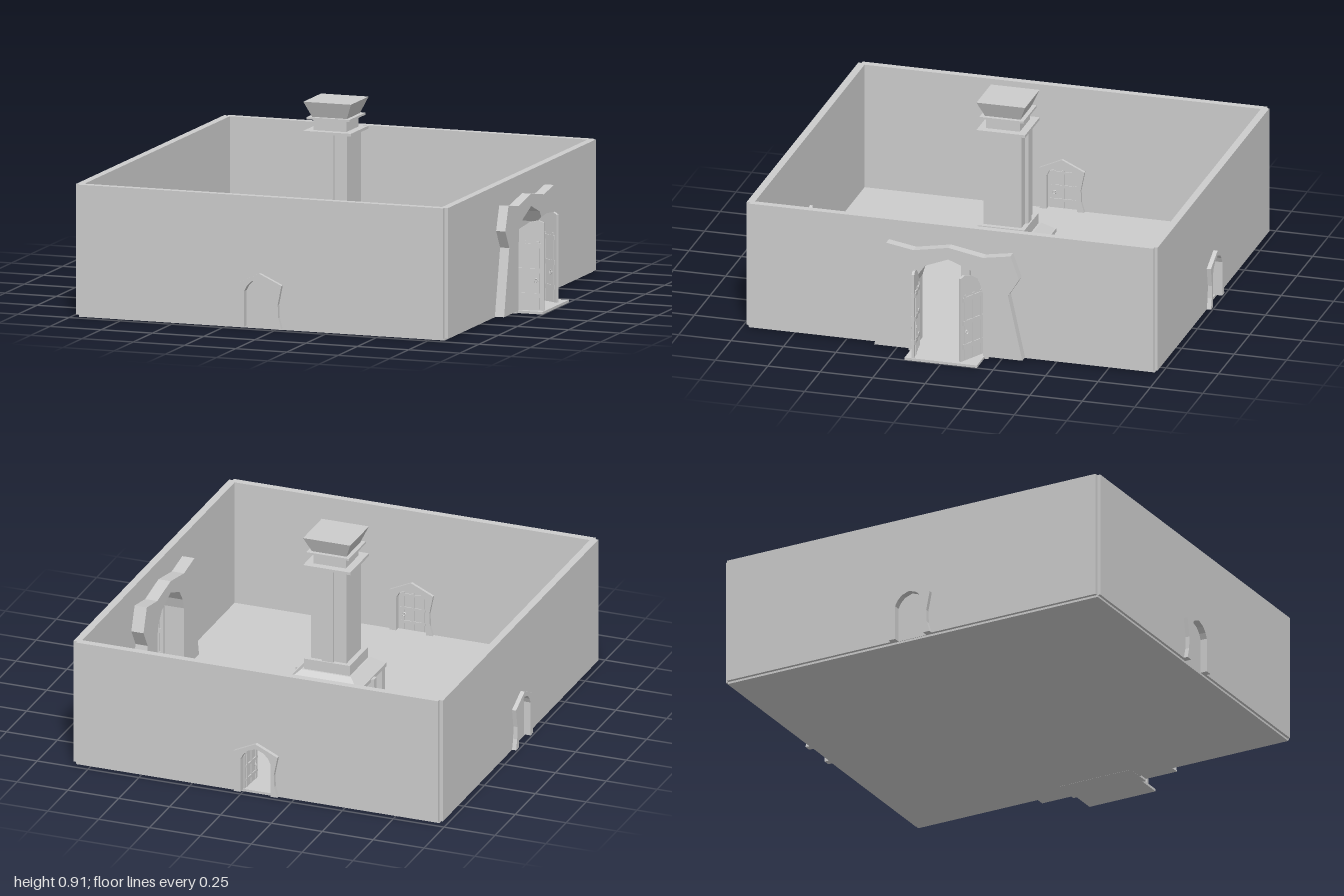
import * as THREE from 'three';

const material = new THREE.MeshStandardMaterial({ color: 0xcccccc, flatShading: true, side: THREE.DoubleSide });
const FLOOR = 0.01;
const CX = -0.0725; // middle of the room in x

// Right halves of door outlines, from the ground up to the centre line
const smallOpening = [[0.073, FLOOR], [0.073, 0.175], [0.06, 0.2], [0.038, 0.222], [0, 0.236]];
const smallOuter = [[0.107, FLOOR], [0.093, 0.06], [0.09, 0.12], [0.108, 0.21], [0, 0.26]];
const gateOpening = [[0.165, FLOOR], [0.165, 0.32], [0.15, 0.37], [0.11, 0.425], [0, 0.468]];
const gateOuter = [[0.353, FLOOR], [0.285, 0.32], [0.337, 0.405], [0.296, 0.517], [0.166, 0.495], [0, 0.525]];

function mesh(name, geometry, parent, x = 0, y = 0, z = 0) {
  const m = new THREE.Mesh(geometry, material);
  m.name = name;
  m.position.set(x, y, z);
  parent.add(m);
  return m;
}

const box = (name, parent, w, h, d, x, y, z) => mesh(name, new THREE.BoxGeometry(w, h, d), parent, x, y, z);

// Extrude a point list, centred on z = 0
function slab(points, depth) {
  const shape = new THREE.Shape(points.map(([x, y]) => new THREE.Vector2(x, y)));
  const g = new THREE.ExtrudeGeometry(shape, { depth, bevelEnabled: false });
  return g.translate(0, 0, -depth / 2);
}

const flip = (points) => points.map(([x, y]) => [-x, y]);
const closed = (half) => [...half, ...flip(half.slice(0, -1)).reverse()];

// Symmetric outline with a doorway cut up from the ground
function arch(outer, opening) {
  return [...closed(outer), ...flip(opening), ...opening.slice(0, -1).reverse()];
}

// Square frustum with half widths at the bottom and top
function frustum(name, parent, bottom, top, y0, y1) {
  const g = new THREE.CylinderGeometry(top * Math.SQRT2, bottom * Math.SQRT2, y1 - y0, 4);
  g.rotateY(Math.PI / 4);
  return mesh(name, g, parent, 0, (y0 + y1) / 2, 0);
}

// Straps, upright battens and a ring on one face of a leaf
function ironwork(leaf, x0, x1, top, face) {
  const w = x1 - x0;
  for (const t of [0.2, 0.52, 0.84])
    box('doorStrap', leaf, w * 0.9, top * 0.06, 0.006, (x0 + x1) / 2, FLOOR + top * t, face);
  for (const t of [0.15, 0.5, 0.85])
    box('doorBatten', leaf, w * 0.09, top * 0.88, 0.005, x0 + w * t, FLOOR + top * 0.46, face);
  mesh('doorRing', new THREE.TorusGeometry(w * 0.06, w * 0.015, 4, 8), leaf, x0 + w * 0.8, top * 0.42, face * 1.3);
}

// One side of the room: wall, door frame, with local z pointing outward
function side(name, room, angle, x, z, half, opening, outer, frameDepth, frameShift) {
  const group = new THREE.Group();
  group.name = name;
  group.position.set(x, 0, z);
  group.rotation.y = angle;
  room.add(group);
  const hole = opening.map(([u, y]) => [u * 1.06, y === FLOOR ? y : y + 0.006]);
  const wallOuter = [[half, FLOOR], [half, 0.615], [0, 0.615]];
  mesh('wall', slab(arch(wallOuter, hole), 0.035), group);
  mesh('doorFrame', slab(arch(outer, opening), frameDepth), group, 0, 0, frameShift);
  return group;
}

// Arched single leaf hinged at local x = 0.073
function smallDoor(group, swing, bothFaces) {
  const leaf = new THREE.Group();
  leaf.name = 'smallDoor';
  leaf.position.set(0.073 * (swing ? -1 : 0), 0, 0);
  leaf.rotation.y = swing;
  const shift = swing ? 0.073 : 0;
  mesh('doorPanel', slab(closed(smallOpening), 0.01), leaf, shift, 0, 0);
  ironwork(leaf, shift - 0.07, shift + 0.07, 0.21, -0.007);
  if (bothFaces) ironwork(leaf, shift - 0.07, shift + 0.07, 0.21, 0.007);
  group.add(leaf);
}

// Half-arched gate leaf, hinge at its origin, swung out to an end point
function gateLeaf(parent, hinge, end) {
  const leaf = new THREE.Group();
  leaf.name = 'gateLeaf';
  leaf.position.set(hinge[0], 0, hinge[1]);
  leaf.rotation.y = -Math.atan2(end[1] - hinge[1], end[0] - hinge[0]);
  const profile = [[0, FLOOR], [0.16, FLOOR], [0.16, 0.42], [0.135, 0.43], [0.09, 0.418], [0.04, 0.385], [0, 0.325]];
  mesh('gatePanel', slab(profile, 0.012), leaf);
  for (const face of [-0.008, 0.008]) ironwork(leaf, 0.005, 0.155, 0.36, face);
  parent.add(leaf);
}

function pillar(parent) {
  const p = new THREE.Group();
  p.name = 'pillar';
  p.position.x = CX;
  parent.add(p);
  // Base with posts at the corners and mid sides
  frustum('baseBody', p, 0.145, 0.145, 0, 0.2);
  for (const sx of [-1, 1]) for (const sz of [-1, 1])
    box('cornerPost', p, 0.04, 0.2, 0.04, sx * 0.153, 0.1, sz * 0.153);
  for (let i = 0; i < 4; i++) {
    const a = i * Math.PI / 2;
    const post = box('middlePost', p, 0.034, 0.205, 0.05, Math.sin(a) * 0.168, 0.1025, Math.cos(a) * 0.168);
    post.rotation.y = a;
  }
  frustum('baseLedge', p, 0.178, 0.178, 0.19, 0.208);
  frustum('baseSlope', p, 0.172, 0.122, 0.208, 0.25);
  frustum('plinth', p, 0.112, 0.112, 0.25, 0.3);
  // Shaft with ribs on the front and back
  box('shaft', p, 0.176, 0.5, 0.18, 0, 0.52, 0);
  for (const s of [-1, 1]) box('shaftRib', p, 0.054, 0.46, 0.02, 0, 0.53, s * 0.095);
  // Capital
  frustum('lowerCapSlab', p, 0.116, 0.116, 0.757, 0.77);
  frustum('neck', p, 0.08, 0.08, 0.77, 0.822);
  frustum('upperCapSlab', p, 0.105, 0.105, 0.822, 0.832);
  frustum('capital', p, 0.085, 0.116, 0.832, 0.905);
}

export function createModel() {
  const room = new THREE.Group();
  room.name = 'room';

  // Floor and the step outside the gate
  box('floor', room, 1.785, 0.012, 1.935, CX, 0.006, 0);
  box('gateStep', room, 0.2, 0.012, 0.345, 0.9, 0.006, 0);
  box('gateSill', room, 0.14, 0.012, 0.38, 0.81, 0.0055, 0);

  // Four walls with their door frames
  const H = Math.PI / 2;
  const front = side('frontSide', room, 0, CX, 0.9625, 0.89, smallOpening, smallOuter, 0.07, 0.0025);
  const back = side('backSide', room, Math.PI, CX, -0.9625, 0.89, smallOpening, smallOuter, 0.07, 0.0025);
  const left = side('westSide', room, -H, -0.9625, 0, 0.965, smallOpening, smallOuter, 0.07, 0.0025);
  side('gateSide', room, H, 0.8175, 0, 0.965, gateOpening, gateOuter, 0.14, -0.0075);

  // Two shut doors and one standing open inward
  smallDoor(front, 0, false);
  smallDoor(left, 0, false);
  smallDoor(back, H * 0.97, true);

  // Open gate
  gateLeaf(room, [0.835, 0.157], [0.99, 0.135]);
  gateLeaf(room, [0.835, -0.157], [0.97, -0.088]);

  pillar(room);
  return room;
}
